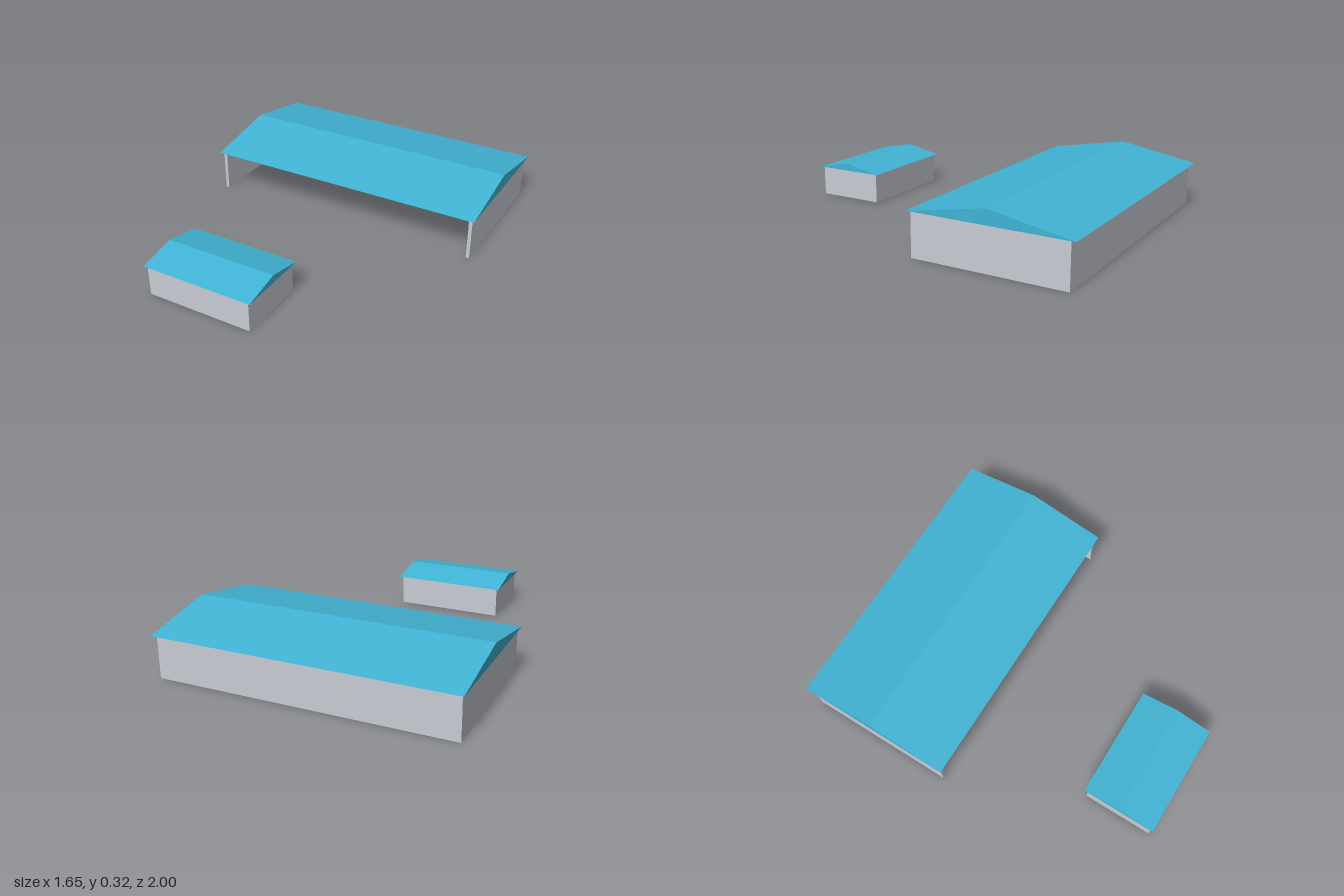
import * as THREE from 'three';

const wallMat = new THREE.MeshStandardMaterial({ color: 0xc8ccd4 });
wallMat.name = 'pale grey wall';
const roofMat = new THREE.MeshStandardMaterial({ color: 0x41b4d5 });
roofMat.name = 'blue roof';

// Box given by its bounds on each axis
function block(name, [x0, x1], [y0, y1], [z0, z1]) {
  const mesh = new THREE.Mesh(new THREE.BoxGeometry(x1 - x0, y1 - y0, z1 - z0), wallMat);
  mesh.position.set((x0 + x1) / 2, (y0 + y1) / 2, (z0 + z1) / 2);
  mesh.name = name;
  return mesh;
}

// Solid gable roof with its ridge running along x
function gableRoof(name, [x0, x1], [eave, ridge], [z0, z1]) {
  const half = (z1 - z0) / 2;
  const gable = new THREE.Shape([
    new THREE.Vector2(-half, 0),
    new THREE.Vector2(half, 0),
    new THREE.Vector2(0, ridge - eave),
  ]);
  const length = x1 - x0;
  const geometry = new THREE.ExtrudeGeometry(gable, { depth: length, bevelEnabled: false });
  geometry.translate(0, 0, -length / 2).rotateY(-Math.PI / 2);
  const mesh = new THREE.Mesh(geometry, roofMat);
  mesh.position.set((x0 + x1) / 2, eave, (z0 + z1) / 2);
  mesh.name = name;
  return mesh;
}

export function createModel() {
  const model = new THREE.Group();
  model.name = 'farmBuildings';

  // Large shed: three thin walls, open at the front, without a floor
  const shed = new THREE.Group();
  shed.name = 'openShed';
  const t = 0.02, height = [0, 0.24], depth = [-0.97, -0.13];
  shed.add(
    block('backWall', [-0.81 + t, 0.81 - t], height, [-0.97, -0.97 + t]),
    block('rightWall', [-0.81, -0.81 + t], height, depth),
    block('leftWall', [0.81 - t, 0.81], height, depth),
    gableRoof('shedRoof', [-0.825, 0.825], [0.24, 0.32], [-1, -0.11]),
  );

  // Small closed hut
  const hut = new THREE.Group();
  hut.name = 'hut';
  hut.add(
    block('hutWalls', [-0.475, 0.135], [0, 0.171], [0.597, 0.988]),
    gableRoof('hutRoof', [-0.49, 0.15], [0.171, 0.214], [0.582, 1]),
  );

  model.add(shed, hut);
  return model;
}
